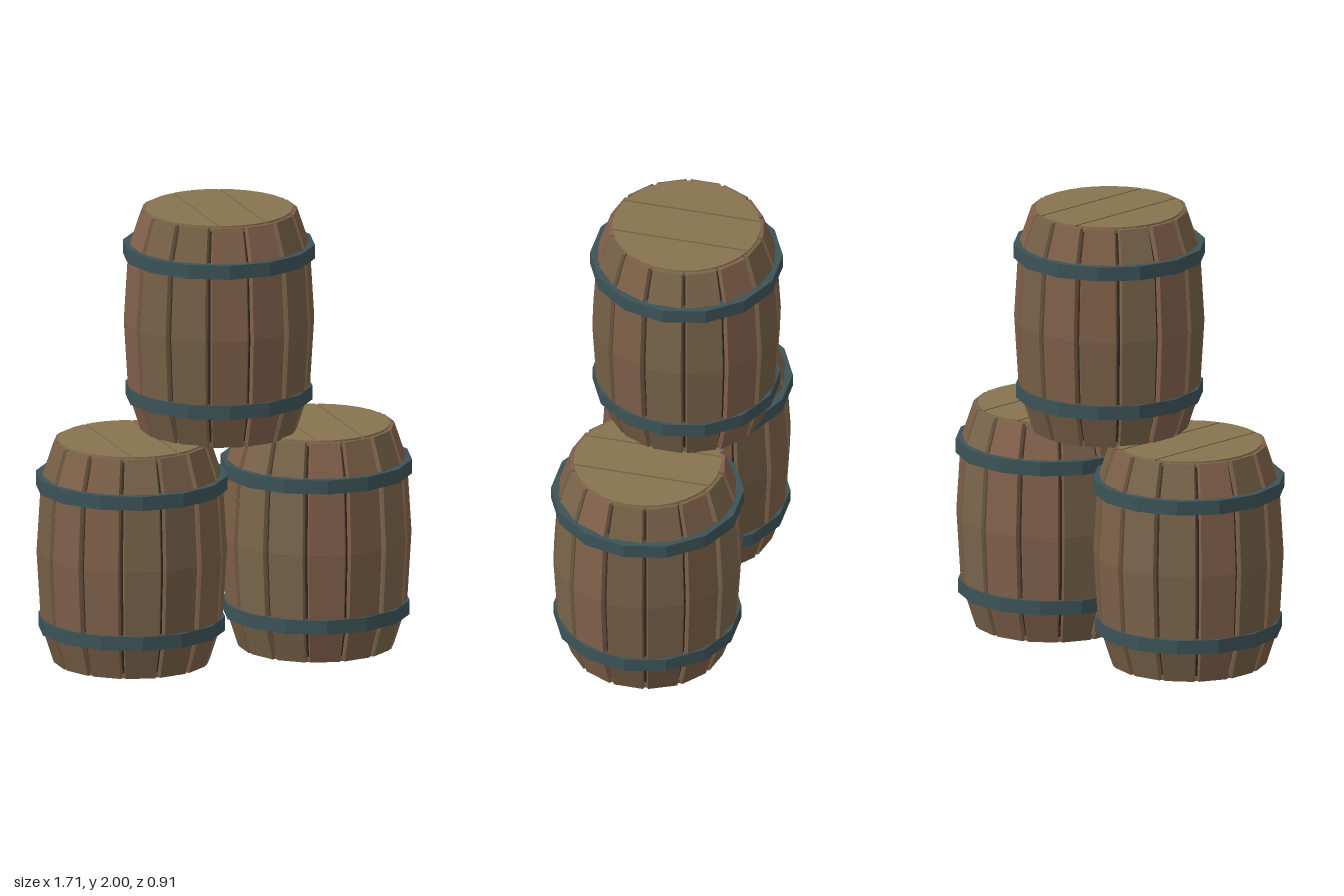
import * as THREE from 'three';

const STAVES = 14;
const STEP = (Math.PI * 2) / STAVES;

const mat = (color) => new THREE.MeshStandardMaterial({ color, flatShading: true });
const woods = [0x7d6048, 0x766047, 0x82614c, 0x7a654b].map(mat);
const lidWood = mat(0x87734f);
const iron = mat(0x3c5358);
const dark = mat(0x3a2b20);

// barrel outline: [corner radius, height]
const PROFILE = [[0.345, 0], [0.4, 0.17], [0.42, 0.5], [0.4, 0.83], [0.345, 0.995]];

// a bevelled plank swept up the outline, centred on angle 0 (facing +z)
function staveGeometry() {
  const half = STEP / 2;
  // cross-section: [inset from the outside, angle], counter-clockwise from above
  const section = [
    [0.012, -half + 0.016], [0, -half + 0.034], [0, half - 0.034],
    [0.012, half - 0.016], [0.045, half - 0.016], [0.045, -half + 0.016],
  ];
  const n = section.length;
  const rings = PROFILE.map(([r, y]) => section.map(([inset, a]) =>
    [(r - inset) * Math.sin(a), y, (r - inset) * Math.cos(a)]));
  const pos = [];
  const tri = (...pts) => pts.forEach((p) => pos.push(...p));
  for (let i = 0; i < rings.length - 1; i++) {
    for (let j = 0; j < n; j++) {
      const k = (j + 1) % n;
      const lo = rings[i], hi = rings[i + 1];
      tri(lo[j], lo[k], hi[k]);
      tri(lo[j], hi[k], hi[j]);
    }
  }
  const top = rings[rings.length - 1], bottom = rings[0];
  for (let j = 1; j < n - 1; j++) {
    tri(top[0], top[j], top[j + 1]);
    tri(bottom[0], bottom[j + 1], bottom[j]);
  }
  const g = new THREE.BufferGeometry();
  g.setAttribute('position', new THREE.Float32BufferAttribute(pos, 3));
  g.computeVertexNormals();
  return g;
}

// slice of a round lid between x = a and x = b, lying flat
function lidPlankGeometry(a, b, radius, thickness) {
  const steps = 6;
  const edge = [];
  for (let i = 0; i <= steps; i++) {
    // spacing by angle keeps the rim even
    const t = THREE.MathUtils.lerp(Math.asin(a / radius), Math.asin(b / radius), i / steps);
    edge.push(new THREE.Vector2(Math.sin(t) * radius, Math.cos(t) * radius));
  }
  const mirrored = edge.map((p) => new THREE.Vector2(p.x, -p.y)).reverse();
  const shape = new THREE.Shape([...edge, ...mirrored]);
  const g = new THREE.ExtrudeGeometry(shape, { depth: thickness, bevelEnabled: false });
  return g.rotateX(-Math.PI / 2);
}

function add(parent, name, geometry, material, y = 0) {
  const mesh = new THREE.Mesh(geometry, material);
  mesh.name = name;
  mesh.position.y = y;
  parent.add(mesh);
  return mesh;
}

function createBarrel(name, shift) {
  const barrel = new THREE.Group();
  barrel.name = name;

  // staves, with a seam facing straight forward
  const stave = staveGeometry();
  for (let i = 0; i < STAVES; i++) {
    const wood = woods[(i * 3 + (i >> 2) + shift) % woods.length];
    add(barrel, 'stave', stave, wood).rotation.y = (i + 0.5) * STEP;
  }

  // dark inside, seen through the seams
  const inside = PROFILE.map(([r, y]) =>
    new THREE.Vector2(r - 0.022, THREE.MathUtils.clamp(y, 0.01, 0.98)));
  inside.unshift(new THREE.Vector2(0, 0.01));
  inside.push(new THREE.Vector2(0, 0.98));
  add(barrel, 'inside', new THREE.LatheGeometry(inside, STAVES), dark);

  // three lid planks and the bottom
  const r = 0.325, seam = 0.108, gap = 0.005;
  for (const [a, b] of [[-r, -seam - gap], [-seam + gap, seam - gap], [seam + gap, r]]) {
    add(barrel, 'lidPlank', lidPlankGeometry(a, b, r, 0.03), lidWood, 0.973);
  }
  add(barrel, 'bottom', new THREE.CylinderGeometry(0.335, 0.335, 0.02, STAVES), woods[1], 0.011);

  // iron hoops, cornered at the middle of each stave
  for (const [hoopR, y] of [[0.413, 0.175], [0.424, 0.815]]) {
    const hoop = new THREE.CylinderGeometry(hoopR, hoopR, 0.063, STAVES);
    add(barrel, 'hoop', hoop, iron, y).rotation.y = STEP / 2;
  }
  return barrel;
}

export function createModel() {
  const model = new THREE.Group();
  model.name = 'barrelStack';
  const places = [
    ['leftBarrel', 0.43, 0, 0.033],
    ['rightBarrel', -0.43, 0, 0.033],
    ['topBarrel', 0, 0.996, -0.033],
  ];
  places.forEach(([name, x, y, z], i) => {
    const barrel = createBarrel(name, i);
    barrel.position.set(x, y, z);
    model.add(barrel);
  });
  return model;
}
